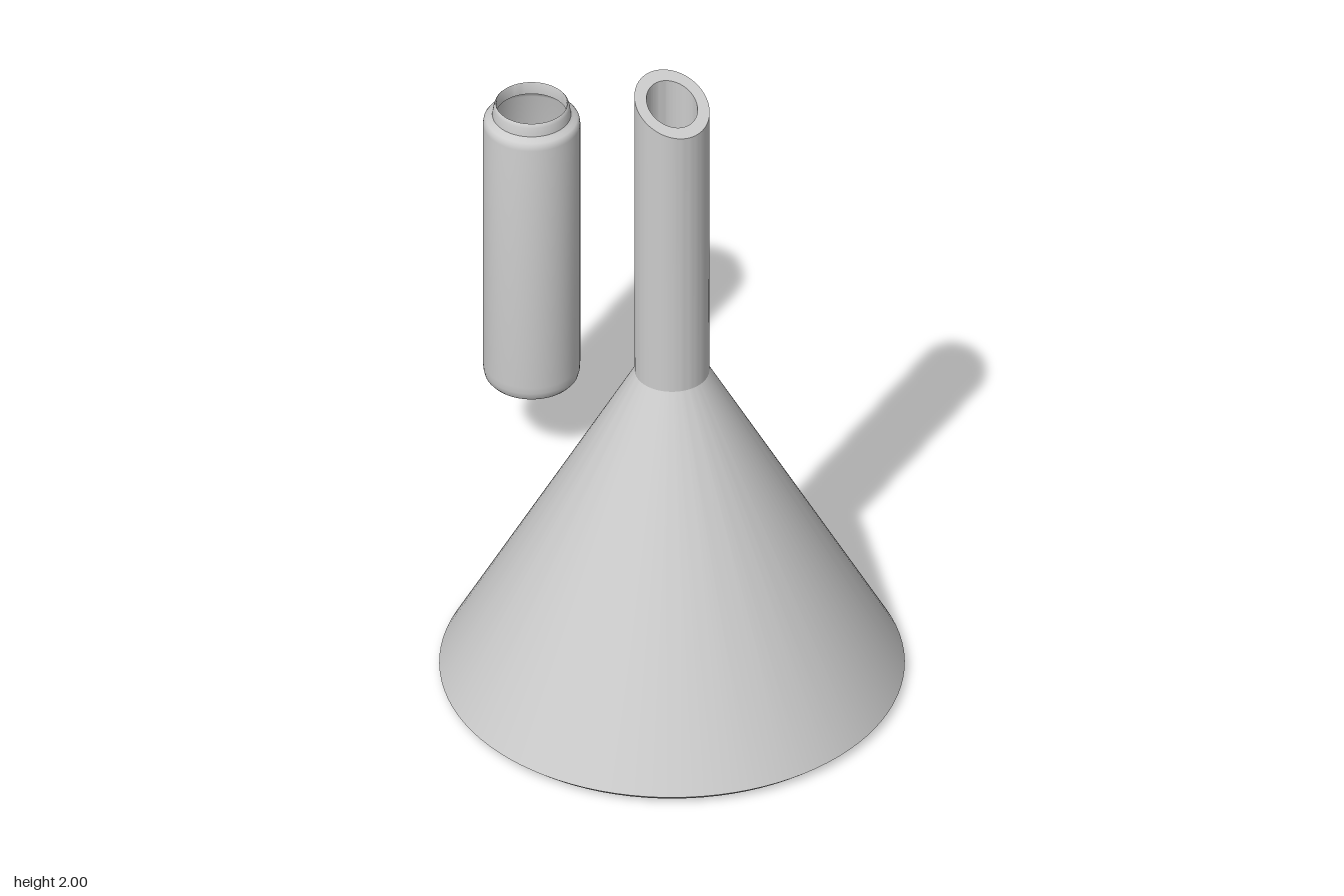
import * as THREE from 'three';
import { toCreasedNormals } from 'three/addons/utils/BufferGeometryUtils.js';

const material = new THREE.MeshStandardMaterial({ color: 0xcccccc, side: THREE.DoubleSide });

// Revolve a list of [radius, height] pairs around the y axis
function lathe(points, segments) {
  return new THREE.LatheGeometry(points.map(([r, y]) => new THREE.Vector2(r, y)), segments);
}

function part(name, geometry, crease, x, z) {
  const mesh = new THREE.Mesh(toCreasedNormals(geometry, crease), material);
  mesh.name = name;
  mesh.position.set(x, 0, z);
  return mesh;
}

export function createModel() {
  const group = new THREE.Group();

  // Upturned funnel: bevelled rim, cone, hollow stem
  const topY = 1.95;
  const funnel = lathe([
    [0.625, 0.005], [0.632, 0], [0.655, 0.02], [0.105, 1.03], [0.106, topY],
    [0.072, topY], [0.07, 1.03], [0.625, 0.005],
  ], 96);

  // Cut the stem tip at a slant, higher at the back
  const p = funnel.attributes.position;
  for (let i = 0; i < p.count; i++) {
    if (p.getY(i) > 1.9) p.setY(i, topY - 0.46 * p.getZ(i) - 0.09 * p.getX(i));
  }
  group.add(part('funnel', funnel, 0.45, 0, 0.302));

  // Open bottle: rounded base, shoulder, short neck and thin inner wall
  const bottle = lathe([
    [0, 0.26], [0.116, 0.26], [0.125, 0.264], [0.132, 0.273], [0.136, 0.29],
    [0.137, 0.31], [0.137, 1.13], [0.135, 1.143], [0.129, 1.151], [0.119, 1.155],
    [0.111, 1.162], [0.11, 1.17], [0.107, 1.188], [0.104, 1.197], [0.101, 1.2],
    [0.099, 1.195], [0.1, 1.16], [0.122, 1.145], [0.13, 1.13],
    [0.13, 0.3], [0.115, 0.27], [0, 0.27],
  ], 64);
  group.add(part('bottle', bottle, 0.6, 0.05, -0.822));

  return group;
}
